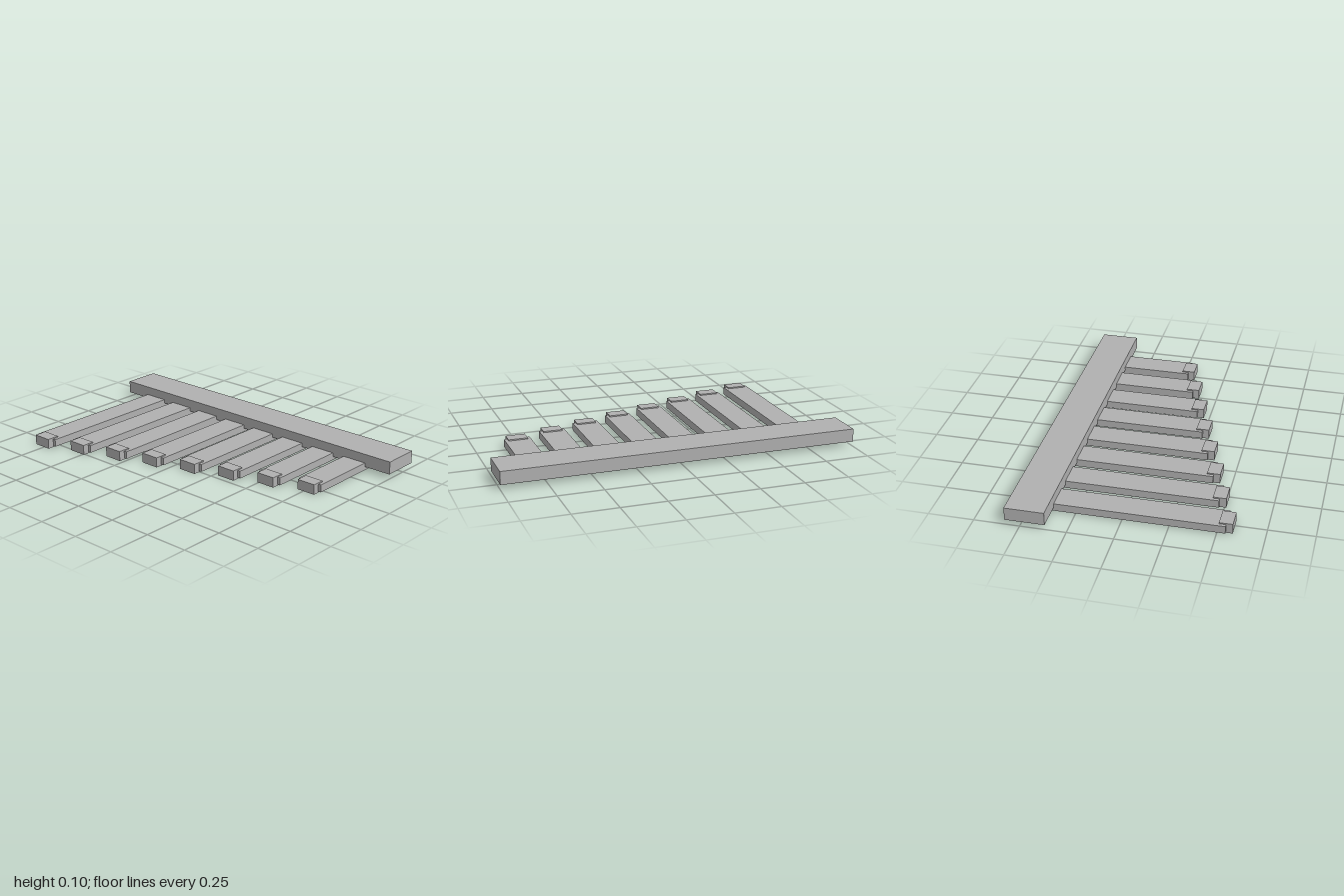
import * as THREE from 'three';

export function createModel() {
  const group = new THREE.Group();
  const grey = new THREE.MeshStandardMaterial({ color: 0xb0b0b0 });
  grey.name = 'plain grey';

  // Box given by its limits on each axis
  function addBox(name, [x0, x1], [y0, y1], [z0, z1]) {
    const mesh = new THREE.Mesh(new THREE.BoxGeometry(x1 - x0, y1 - y0, z1 - z0), grey);
    mesh.position.set((x0 + x1) / 2, (y0 + y1) / 2, (z0 + z1) / 2);
    mesh.name = name;
    group.add(mesh);
  }

  // Cross beam lying over the back ends of the bars
  addBox('crossBeam', [-1, 1], [0.028, 0.101], [-0.581, -0.365]);

  // Eight bars, each shorter than the last, with a narrower, thicker end block
  const count = 8;
  for (let i = 0; i < count; i++) {
    const x = -0.765 + i * 0.2186;
    const front = 0.581 - i * 0.0728;
    addBox(`bar${i + 1}`, [x - 0.0728, x + 0.0728], [0.007, 0.05], [-0.47, front - 0.036]);
    addBox(`endBlock${i + 1}`, [x - 0.0546, x + 0.0546], [0, 0.057], [front - 0.0728, front]);
  }
  return group;
}
